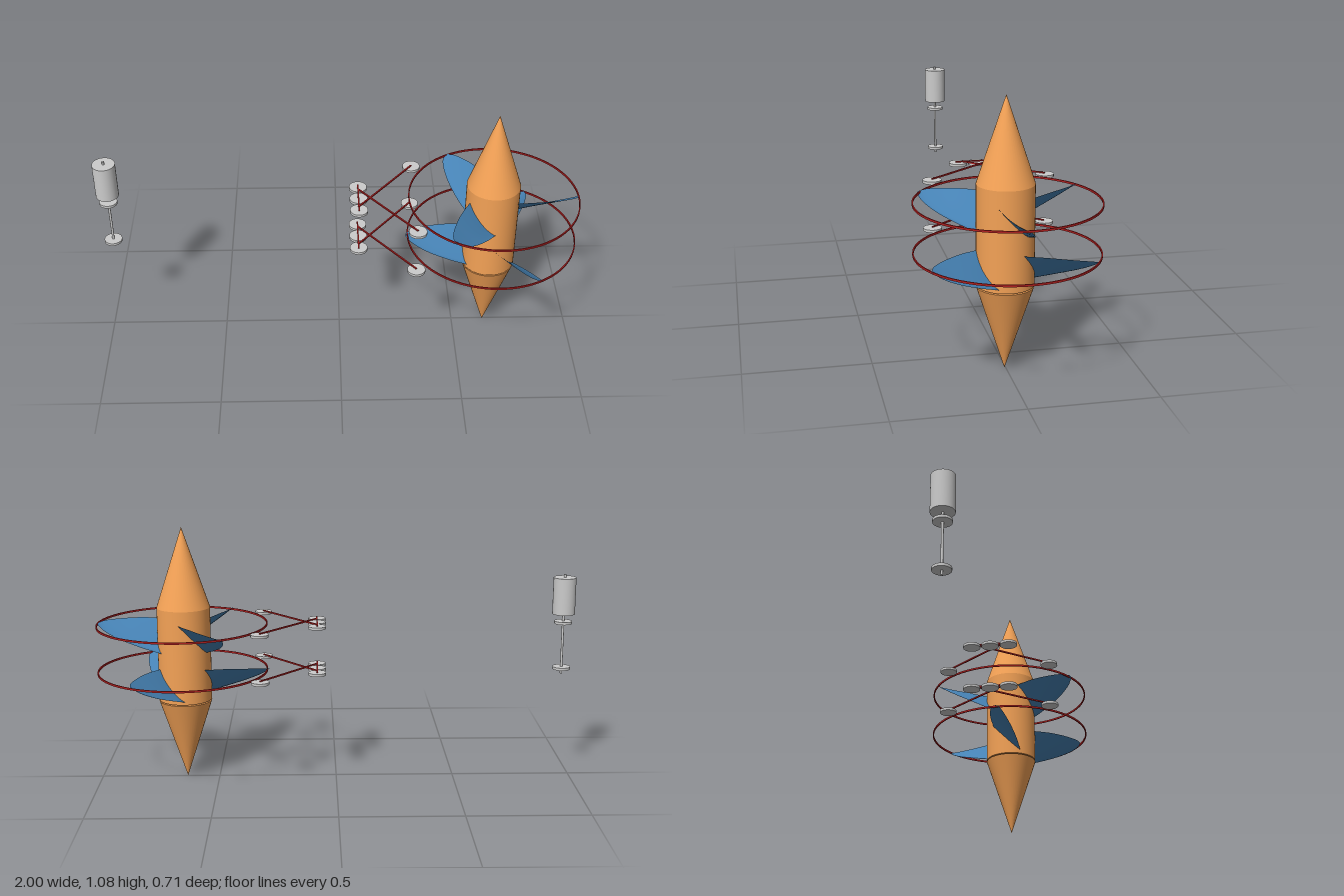
import * as THREE from 'three';
import { ParametricGeometry } from 'three/addons/geometries/ParametricGeometry.js';

const mat = (color, side = THREE.FrontSide) => new THREE.MeshStandardMaterial({ color, side });
const orange = mat(0xf4a256);
const blue = mat(0x4682b4, THREE.DoubleSide);
const red = mat(0xb02020);
const grey = mat(0xcccccc);

const LEVELS = [0.472, 0.669];   // lower and upper drive planes
const ROTOR_X = 0.637;

function add(parent, name, geometry, material, x = 0, y = 0, z = 0) {
  const mesh = new THREE.Mesh(geometry, material);
  mesh.name = name;
  mesh.position.set(x, y, z);
  parent.add(mesh);
  return mesh;
}

// Upright cylinder or cone between two heights
function upright(parent, name, material, rTop, rBottom, y0, y1, x, z, open = false) {
  const g = new THREE.CylinderGeometry(rTop, rBottom, y1 - y0, 48, 1, open);
  return add(parent, name, g, material, x, (y0 + y1) / 2, z);
}

// Smooth curve through evenly spaced values
const track = (points) => {
  const curve = new THREE.CatmullRomCurve3(points.map((p) => new THREE.Vector3(...p)));
  return (t) => curve.getPoint(t);
};

// Pitched blade along +x, swept between a level top edge and a rising lower edge
function bladeGeometry() {
  const leading = track([[0.085, 0.012, 0.062], [0.18, 0.016, 0.06], [0.27, 0.014, 0.048], [0.33, 0.01, 0.03], [0.357, 0.004, 0.01]]);
  const trailing = track([[0.085, -0.115, -0.062], [0.18, -0.085, -0.057], [0.27, -0.052, -0.042], [0.33, -0.022, -0.022], [0.357, 0, -0.004]]);
  return new ParametricGeometry((u, v, p) => {
    const a = leading(u), b = trailing(u);
    p.lerpVectors(b, a, v);
    p.y = b.y + (a.y - b.y) * Math.pow(v, 1.25);
  }, 24, 10);
}

// Thin flat hoop with a rectangular section
function hoopGeometry(radius, thickness, height) {
  const r0 = radius - thickness, h = height / 2;
  const profile = [[r0, -h], [radius, -h], [radius, h], [r0, h], [r0, -h]];
  const points = profile.map(([r, y]) => new THREE.Vector2(r, y));
  const g = new THREE.LatheGeometry(points, 96).toNonIndexed();
  g.computeVertexNormals();
  return g;
}

// Straight belt between two points on a drive plane
function addBelt(parent, [x0, z0], [x1, z1], y) {
  const g = new THREE.BoxGeometry(Math.hypot(x1 - x0, z1 - z0), 0.006, 0.006);
  const belt = add(parent, 'belt', g, red, (x0 + x1) / 2, y, (z0 + z1) / 2);
  belt.rotation.y = -Math.atan2(z1 - z0, x1 - x0);
}

export function createModel() {
  const model = new THREE.Group();
  model.name = 'rotorDrive';

  // Spindle body with pointed ends
  const body = new THREE.Group();
  body.name = 'spindleBody';
  model.add(body);
  upright(body, 'lowerCone', orange, 0.111, 0, 0, 0.34, ROTOR_X, 0.005);
  upright(body, 'barrel', orange, 0.111, 0.111, 0.345, 0.74, ROTOR_X, 0.005);
  upright(body, 'upperCone', orange, 0, 0.111, 0.74, 1.075, ROTOR_X, 0.005);

  const blade = bladeGeometry();
  const hoop = hoopGeometry(0.356, 0.005, 0.008);
  const pulley = new THREE.CylinderGeometry(0.037, 0.037, 0.011, 32);
  const idlers = [[0.08, -0.08], [0.08, 0], [0.08, 0.08], [0.312, -0.227], [0.312, 0.227]];

  LEVELS.forEach((y, level) => {
    // Three-bladed rotor, the two levels staggered by half a step
    const rotor = new THREE.Group();
    rotor.name = level ? 'upperRotor' : 'lowerRotor';
    rotor.position.set(ROTOR_X + 0.002, y, 0);
    model.add(rotor);
    for (let i = 0; i < 3; i++) {
      const b = add(rotor, 'blade', blade, blue);
      b.rotation.y = i * Math.PI * 2 / 3 + (level ? 0 : Math.PI);
    }
    add(rotor, 'driveHoop', hoop, red, 0.004, 0, -0.002);

    // Pulleys and crossed belts
    const drive = new THREE.Group();
    drive.name = level ? 'upperBeltDrive' : 'lowerBeltDrive';
    model.add(drive);
    for (const [x, z] of idlers) add(drive, 'pulley', pulley, grey, x, y, z);
    add(drive, 'motorPulley', pulley, grey, -0.954, y, 0);
    const by = y + 0.007;
    addBelt(drive, [0.08, -0.09], [0.08, 0.09], by);
    for (const s of [-1, 1]) addBelt(drive, [0.312, s * 0.227], [0.08, -s * 0.06], by);
  });

  // Motor standing apart with its long shaft
  const motor = new THREE.Group();
  motor.name = 'motor';
  model.add(motor);
  upright(motor, 'motorCase', grey, 0.047, 0.047, 0.705, 0.86, -0.954, 0);
  upright(motor, 'motorShaft', grey, 0.005, 0.005, 0.447, 0.873, -0.954, 0);

  return model;
}
